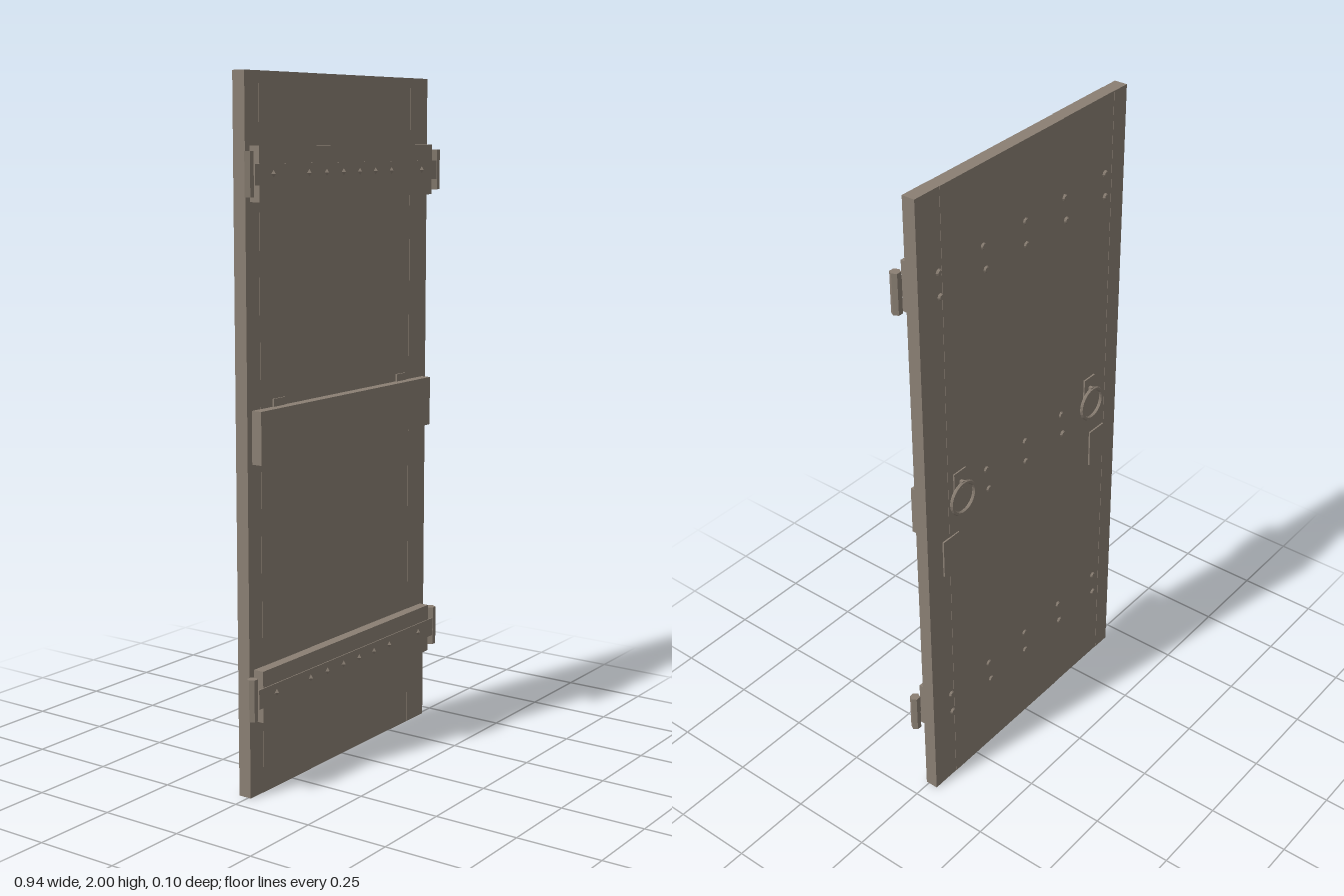
import * as THREE from 'three';

export function createModel() {
  const door = new THREE.Group();
  door.name = 'door';
  const wood = new THREE.MeshStandardMaterial({ color: 0x8a7f73, flatShading: true });
  wood.name = 'weathered wood';

  const add = (name, geometry, x, y, z, parent = door) => {
    const mesh = new THREE.Mesh(geometry, wood);
    mesh.name = name;
    mesh.position.set(x, y, z);
    parent.add(mesh);
    return mesh;
  };
  // box given by its limits on each axis
  const box = (name, x0, x1, y0, y1, z0, z1) =>
    add(name, new THREE.BoxGeometry(x1 - x0, y1 - y0, z1 - z0),
      (x0 + x1) / 2, (y0 + y1) / 2, (z0 + z1) / 2);

  // vertical planks, very slightly uneven in depth
  const seams = [-0.443, -0.385, -0.16, 0.35, 0.443];
  const uneven = [0, 0.001, 0, 0.001];
  for (let i = 0; i < 4; i++) {
    box('plank', seams[i], seams[i + 1], 0, 2, -0.032 + uneven[i], 0.008 + uneven[i]);
  }

  // cross ledgers on the front, with nails showing on the back
  const nailHead = new THREE.CylinderGeometry(0.007, 0.011, 0.006, 8).rotateX(-Math.PI / 2);
  const ledgers = [0.295, 1.022, 1.73];
  ledgers.forEach((y, row) => {
    box('ledger', -0.423, 0.423, y - 0.074, y + 0.074, 0.008, 0.04);
    [0.36, 0.18, 0.006, -0.17, -0.355].forEach((x, i) => {
      if (row === 1 && Math.abs(x) > 0.3) return;
      for (const s of [1, -1]) {
        add('backNail', nailHead, x + s * (i % 2 ? 0.005 : 0.002), y + s * 0.036, -0.034);
      }
    });
  });

  // hinge straps, studs and hexagonal knuckles
  const stud = new THREE.ConeGeometry(0.012, 0.008, 4).rotateX(Math.PI / 2);
  const knuckle = new THREE.CylinderGeometry(0.0152, 0.0152, 0.12, 6, 1, false, Math.PI / 2);
  for (const y of [0.295, 1.73]) {
    box('hingeStrap', -0.445, 0.445, y - 0.029, y + 0.027, 0.039, 0.043);
    for (const x of [-0.365, -0.205, -0.123, -0.042, 0.038, 0.117, 0.2, 0.362]) {
      add('strapStud', stud, x, y, 0.046);
    }
    for (const s of [-1, 1]) {
      add('hingeKnuckle', knuckle, s * 0.457, y, 0.029);
    }
  }

  // ring pulls with stepped plates on the back
  const ring = new THREE.TorusGeometry(0.0485, 0.0065, 6, 24).scale(1, 1, 0.85);
  for (const s of [-1, 1]) {
    const plate = (name, a, b, y0, y1, z0, z1) =>
      box(name, Math.min(s * a, s * b), Math.max(s * a, s * b), y0, y1, z0, z1);
    plate('upperPullPlate', 0.277, 0.328, 1.03, 1.12, -0.036, -0.03);
    plate('lowerPullPlate', 0.312, 0.38, 0.795, 0.916, -0.036, -0.03);
    plate('frontPullPlate', 0.28, 0.332, 1.03, 1.118, 0.007, 0.013);
    add('pullRing', ring, s * 0.302, 1.033, -0.045);
    // small staple holding the ring
    plate('ringStaple', 0.297, 0.307, 1.072, 1.09, -0.047, -0.034);
  }
  return door;
}
